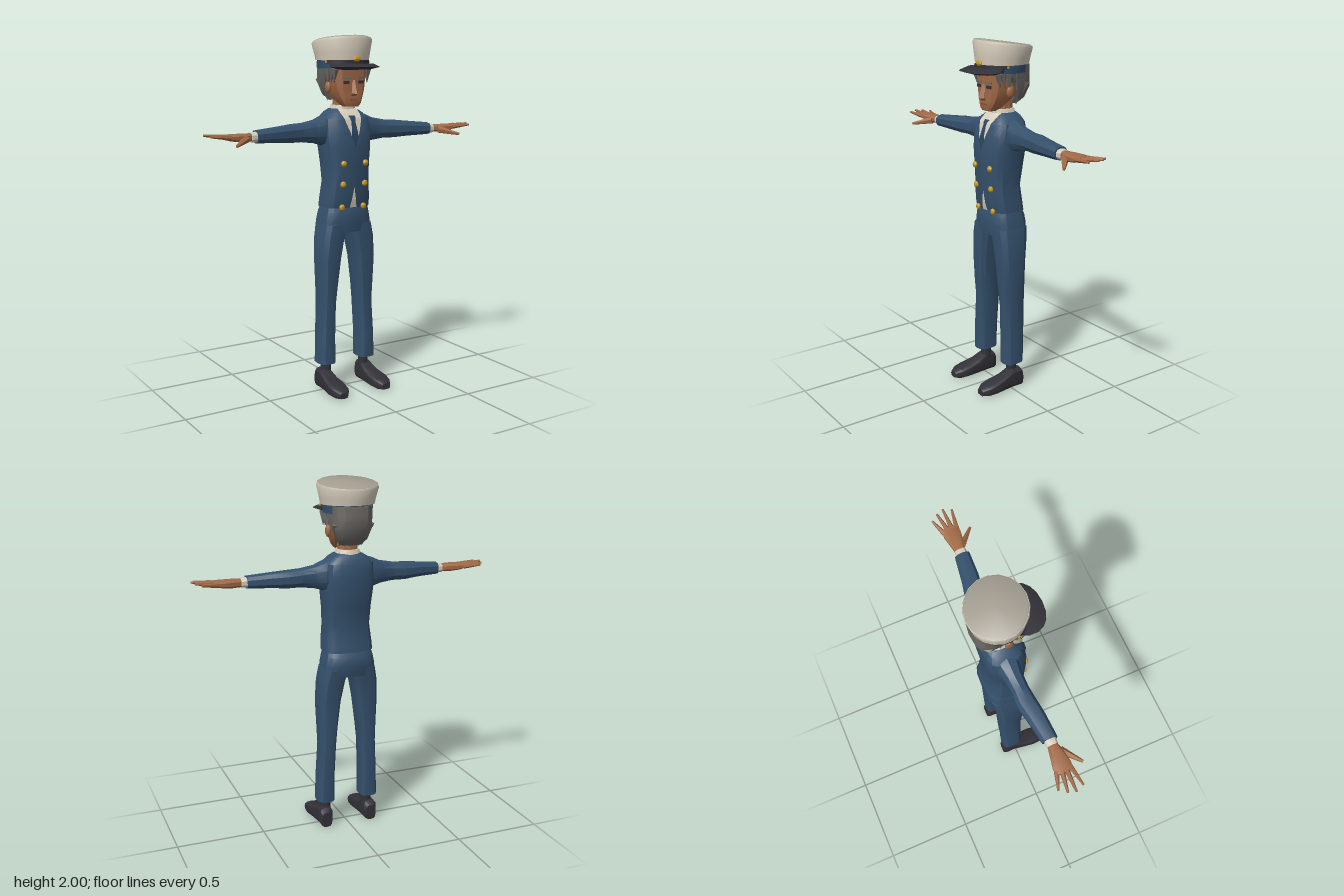
import * as THREE from 'three';
import { toCreasedNormals } from 'three/addons/utils/BufferGeometryUtils.js';

const paint = (name, color) => {
  const m = new THREE.MeshStandardMaterial({ color });
  m.name = name;
  return m;
};

export function createModel() {
  const model = new THREE.Group();
  model.name = 'officer';
  const navy = paint('navy cloth', 0x35516d), cream = paint('cream cloth', 0xd8cfbd);
  const skin = paint('skin', 0xa26a47), lip = paint('lip', 0x7d4c33);
  const hairGrey = paint('grey hair', 0x6c6965), black = paint('black leather', 0x323138);
  const gold = paint('brass', 0xc9981f), capGrey = paint('cap top', 0xa39d91);
  const darkNavy = paint('dark navy tie', 0x2b4560);

  const add = (name, geo, mat, crease = 0.5) => {
    const mesh = new THREE.Mesh(toCreasedNormals(geo, crease), mat);
    mesh.name = name;
    model.add(mesh);
  };
  // Adds a part on the left and its mirror image on the right
  const addPair = (name, geo, mat, crease) => {
    add('left ' + name, geo, mat, crease);
    const g = geo.index ? geo.toNonIndexed() : geo.clone();
    const p = g.attributes.position, a = new THREE.Vector3(), b = new THREE.Vector3();
    for (let i = 0; i < p.count; i++) p.setX(i, -p.getX(i));
    for (let i = 0; i < p.count; i += 3) {
      a.fromBufferAttribute(p, i + 1);
      b.fromBufferAttribute(p, i + 2);
      p.setXYZ(i + 1, b.x, b.y, b.z);
      p.setXYZ(i + 2, a.x, a.y, a.z);
    }
    add('right ' + name, g, mat, crease);
  };
  const spow = (v, p) => Math.sign(v) * Math.pow(Math.abs(v), p);
  // Rounded cross-sections along an axis; row = [position, min a, max a, min b, max b]
  const loft = (axis, rows, n = 12, p = 0.65) => {
    const pos = [], idx = [];
    const put = (t, a, b) => pos.push(...(axis === 'y' ? [a, t, b] : axis === 'x' ? [t, a, b] : [a, b, t]));
    for (const [t, a0, a1, b0, b1] of rows)
      for (let j = 0; j < n; j++) {
        const ang = (j / n) * Math.PI * 2;
        const c = Math.abs(Math.cos(ang)) < 1e-9 ? 0 : spow(Math.cos(ang), p);
        const s = Math.abs(Math.sin(ang)) < 1e-9 ? 0 : spow(Math.sin(ang), p);
        const [u, v] = axis === 'y' ? [s, c] : [c, s];
        put(t, (a0 + a1) / 2 + (u * (a1 - a0)) / 2, (b0 + b1) / 2 + (v * (b1 - b0)) / 2);
      }
    const last = (rows.length - 1) * n, c0 = rows.length * n;
    for (const r of [rows[0], rows[rows.length - 1]]) put(r[0], (r[1] + r[2]) / 2, (r[3] + r[4]) / 2);
    for (let j = 0; j < n; j++) {
      const k = (j + 1) % n;
      for (let o = 0; o < last; o += n) idx.push(o + j, o + k, o + n + k, o + j, o + n + k, o + n + j);
      idx.push(c0, k, j, c0 + 1, last + j, last + k);
    }
    const g = new THREE.BufferGeometry();
    g.setAttribute('position', new THREE.Float32BufferAttribute(pos, 3));
    g.setIndex(idx);
    return g;
  };
  const sym = (rows) => rows.map(([t, h, b0, b1]) => [t, -h, h, b0, b1]);
  const ball = (x, y, z, rx, ry, rz) => new THREE.SphereGeometry(1, 10, 8).scale(rx, ry, rz).translate(x, y, z);
  const box = (w, h, d, x, y, z, ry = 0) => new THREE.BoxGeometry(w, h, d).rotateY(ry).translate(x, y, z);
  // Tapered rod between two points
  const rod = (a, b, r0, r1, n = 6) => {
    const A = new THREE.Vector3(...a), B = new THREE.Vector3(...b), d = B.clone().sub(A);
    const q = new THREE.Quaternion().setFromUnitVectors(new THREE.Vector3(0, 1, 0), d.clone().normalize());
    return new THREE.CylinderGeometry(r1, r0, d.length(), n).applyQuaternion(q)
      .translate(...A.add(B).multiplyScalar(0.5).toArray());
  };

  // Jacket body
  const jacket = [
    [1.055, 0.14, -0.13, 0.065], [1.1, 0.138, -0.124, 0.075], [1.2, 0.127, -0.112, 0.082],
    [1.3, 0.13, -0.13, 0.088], [1.4, 0.14, -0.143, 0.09], [1.48, 0.143, -0.145, 0.082],
    [1.55, 0.135, -0.14, 0.06], [1.585, 0.1, -0.125, 0.03], [1.602, 0.07, -0.108, 0.012]];
  add('jacket', loft('y', sym(jacket), 16, 0.6), navy);
  // Depth of the jacket front at a point, used to lay cloth plates on it
  const frontZ = (x, y) => {
    let i = 0;
    while (i < jacket.length - 2 && y > jacket[i + 1][0]) i++;
    const f = THREE.MathUtils.clamp((y - jacket[i][0]) / (jacket[i + 1][0] - jacket[i][0]), 0, 1);
    const [, h, b0, b1] = jacket[i].map((v, k) => THREE.MathUtils.lerp(v, jacket[i + 1][k], f));
    return (b0 + b1) / 2 + ((b1 - b0) / 2) * Math.pow(Math.max(0, 1 - Math.pow(Math.abs(x / h), 2 / 0.6)), 0.3);
  };
  // Thin plate over the jacket front; row = [y, left edge, right edge]
  const plate = (rows, off) => {
    const g = new THREE.PlaneGeometry(1, 1, 6, 18), p = g.attributes.position;
    for (let i = 0; i < p.count; i++) {
      const u = p.getX(i) + 0.5, v = (p.getY(i) + 0.5) * (rows.length - 1);
      const k = Math.min(Math.floor(v), rows.length - 2);
      const [y, x0, x1] = rows[k].map((w, c) => THREE.MathUtils.lerp(w, rows[k + 1][c], v - k));
      const x = x0 + (x1 - x0) * u;
      p.setXYZ(i, x, y, frontZ(x, y) + off);
    }
    return g;
  };
  add('shirt front', plate([[1.39, -0.001, 0.001], [1.5, -0.04, 0.04], [1.56, -0.062, 0.062], [1.602, -0.06, 0.06]], 0.004), cream);
  add('tie', plate([[1.392, -0.001, 0.001], [1.45, -0.021, 0.021], [1.535, -0.013, 0.013], [1.565, -0.021, 0.021]], 0.007), darkNavy);
  add('shirt gap', plate([[1.057, -0.022, 0.022], [1.11, -0.012, 0.012], [1.17, -0.001, 0.001]], 0.004), cream);
  addPair('lapel', plate([[1.39, 0, 0.008], [1.5, 0.038, 0.08], [1.52, 0.045, 0.095], [1.58, 0.062, 0.09]], 0.008), navy);
  add('collar', loft('y', sym([[1.57, 0.078, -0.12, 0.022], [1.622, 0.062, -0.108, 0.02]]), 14, 0.8), cream);
  for (const y of [1.305, 1.19, 1.06])
    addPair('button', ball(0.07, y, frontZ(0.07, y) + 0.004, 0.018, 0.018, 0.012), gold, 1.2);

  // Sleeves, cuffs and hands
  addPair('sleeve', loft('x', [
    [0.09, 1.42, 1.575, -0.105, 0.02], [0.14, 1.4, 1.568, -0.105, 0.022], [0.19, 1.415, 1.545, -0.09, 0.012],
    [0.27, 1.425, 1.53, -0.082, 0.012], [0.34, 1.424, 1.526, -0.087, 0.02], [0.42, 1.43, 1.518, -0.07, 0.03],
    [0.56, 1.435, 1.505, -0.048, 0.037]], 10, 0.8), navy);
  addPair('cuff', loft('x', [[0.55, 1.44, 1.498, -0.038, 0.028], [0.592, 1.442, 1.495, -0.035, 0.026]], 10, 0.8), cream);
  addPair('palm', loft('x', [
    [0.58, 1.447, 1.49, -0.03, 0.02], [0.64, 1.445, 1.492, -0.042, 0.036],
    [0.7, 1.452, 1.49, -0.055, 0.045], [0.74, 1.462, 1.488, -0.052, 0.04]], 10, 0.7), skin);
  const fingers = [
    [[0.72, 1.472, -0.043], [0.812, 1.482, -0.076]], [[0.73, 1.475, -0.018], [0.84, 1.486, -0.038]],
    [[0.73, 1.476, 0.006], [0.853, 1.489, 0.002]], [[0.72, 1.474, 0.03], [0.835, 1.484, 0.048]]];
  for (const [a, b] of fingers) addPair('finger', rod(a, b, 0.014, 0.006), skin);
  addPair('thumb', rod([0.625, 1.462, 0.022], [0.718, 1.436, 0.105], 0.021, 0.008), skin);

  // Trousers
  add('trouser seat', loft('y', sym([
    [0.915, 0.155, -0.13, 0.062], [0.98, 0.15, -0.146, 0.07],
    [1.03, 0.14, -0.14, 0.068], [1.075, 0.128, -0.115, 0.055]]), 16, 0.65), navy);
  addPair('trouser leg', loft('y', [
    [0.155, 0.08, 0.183, -0.085, 0.042], [0.3, 0.082, 0.178, -0.09, 0.042], [0.5, 0.075, 0.166, -0.1, 0.041],
    [0.6, 0.066, 0.169, -0.103, 0.05], [0.76, 0.046, 0.176, -0.107, 0.058],
    [0.88, 0.024, 0.168, -0.124, 0.065], [0.96, 0.005, 0.152, -0.136, 0.066]], 12, 0.7), navy);

  // Socks and shoes
  addPair('sock', rod([0.127, 0.08, -0.022], [0.127, 0.18, -0.022], 0.03, 0.03, 10), black);
  addPair('shoe', loft('z', [
    [-0.082, 0.108, 0.168, 0, 0.09], [-0.065, 0.098, 0.176, 0, 0.114], [-0.01, 0.096, 0.176, 0, 0.118],
    [0.05, 0.09, 0.185, 0, 0.088], [0.12, 0.084, 0.195, 0, 0.07],
    [0.17, 0.09, 0.19, 0, 0.057], [0.205, 0.115, 0.168, 0.005, 0.04]], 12, 0.6), black);

  // Head and face
  add('neck', loft('y', sym([[1.54, 0.065, -0.11, 0.015], [1.61, 0.055, -0.1, 0.005], [1.67, 0.056, -0.1, 0.02]]), 10, 0.9), skin);
  add('head', loft('y', sym([
    [1.615, 0.042, 0.015, 0.07], [1.635, 0.06, -0.02, 0.077], [1.67, 0.077, -0.07, 0.077],
    [1.71, 0.093, -0.11, 0.076], [1.76, 0.1, -0.13, 0.078], [1.85, 0.105, -0.14, 0.082]]), 12, 0.55), skin);
  add('nose', loft('y', sym([[1.672, 0.014, 0.06, 0.088], [1.686, 0.02, 0.06, 0.112], [1.76, 0.008, 0.06, 0.085]]), 4, 1), skin);
  add('mouth', box(0.045, 0.007, 0.008, 0, 1.651, 0.075), lip);
  addPair('eye', box(0.034, 0.016, 0.008, 0.046, 1.747, 0.075, 0.12), black);
  addPair('eyebrow', box(0.046, 0.009, 0.009, 0.046, 1.77, 0.077, 0.12), hairGrey);
  addPair('ear', ball(0.104, 1.72, -0.025, 0.014, 0.034, 0.024), skin, 0.8);

  // Hair with hanging locks
  add('hair', loft('y', sym([
    [1.65, 0.058, -0.125, -0.06], [1.68, 0.085, -0.158, -0.06], [1.74, 0.108, -0.185, -0.035],
    [1.79, 0.116, -0.193, 0.035], [1.815, 0.12, -0.193, 0.08], [1.86, 0.125, -0.19, 0.09]]), 14, 0.75), hairGrey);
  for (const z of [0.055, 0.025, -0.01, -0.06])
    addPair('side lock', rod([0.105, 1.82, z], [0.106 - Math.max(0, -z) * 0.1, 1.745 - (z < 0 ? 0.03 : 0), z - 0.012], 0.02, 0.002, 5), hairGrey);
  for (const x of [0.02, 0.055, 0.085])
    addPair('back lock', rod([x * 1.1, 1.77, -0.172 + x * 0.5], [x * 0.75, 1.645, -0.125 + x * 0.4], 0.028, 0.003, 5), hairGrey);

  // Peaked cap; the crown rises toward the front
  const tilt = (g) => {
    const p = g.attributes.position;
    for (let i = 0; i < p.count; i++)
      p.setY(i, p.getY(i) + (p.getZ(i) + 0.05) * 1.3 * Math.max(0, p.getY(i) - 1.865));
    return g;
  };
  add('cap band', loft('y', sym([[1.82, 0.135, -0.178, 0.088], [1.875, 0.142, -0.182, 0.096]]), 18, 1), navy);
  add('cap crown', tilt(loft('y', sym([
    [1.865, 0.148, -0.19, 0.102], [1.9, 0.155, -0.195, 0.106], [1.96, 0.17, -0.206, 0.111],
    [1.973, 0.168, -0.204, 0.107]]), 18, 1)), cream, 0.7);
  add('cap top', tilt(loft('y', sym([[1.972, 0.168, -0.204, 0.107], [1.979, 0.155, -0.195, 0.094]]), 18, 1)), capGrey, 0.7);
  add('visor', loft('y', sym([
    [1.815, 0.09, 0, 0.14], [1.83, 0.142, -0.015, 0.194], [1.848, 0.125, -0.03, 0.14]]), 18, 0.9), black);
  add('cap strap', new THREE.CylinderGeometry(1, 1, 0.02, 14, 1, true, -1.2, 2.4)
    .scale(0.148, 1, 0.147).translate(0, 1.856, -0.043), black);
  add('cap badge', ball(0, 1.873, 0.107, 0.024, 0.016, 0.01), gold, 1.2);
  addPair('strap button', ball(0.135, 1.856, 0.012, 0.008, 0.008, 0.008), gold, 1.2);

  return model;
}
